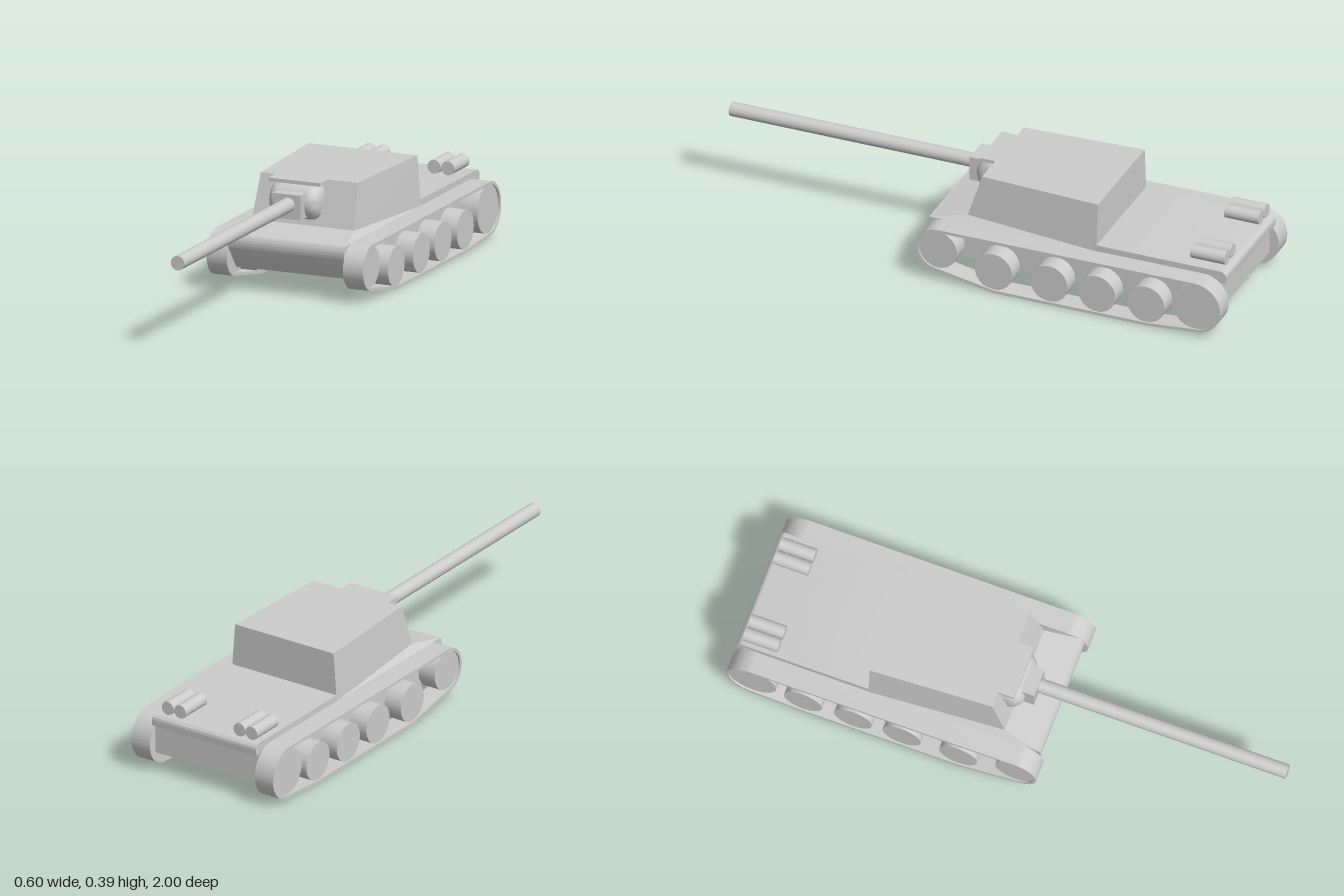
import * as THREE from 'three';
import { toCreasedNormals } from 'three/addons/utils/BufferGeometryUtils.js';
import { ConvexGeometry } from 'three/addons/geometries/ConvexGeometry.js';

const material = new THREE.MeshStandardMaterial({ color: 0xcccccc });

export function createModel() {
  const model = new THREE.Group();

  const add = (name, geometry, x = 0, y = 0, z = 0) => {
    const mesh = new THREE.Mesh(geometry, material);
    mesh.name = name;
    mesh.position.set(x, y, z);
    model.add(mesh);
    return mesh;
  };

  // Side profile drawn as (z, y), extruded across x and centred
  const across = (shape, width) => {
    const g = new THREE.ExtrudeGeometry(shape, { depth: width, bevelEnabled: false, curveSegments: 24 });
    g.translate(0, 0, -width / 2).rotateY(-Math.PI / 2);
    return toCreasedNormals(g, 0.6);
  };

  // Convex solid from right/left mirrored corner points
  const mirroredSolid = (corners) => new ConvexGeometry(
    corners.flatMap(([x, y, z]) => [new THREE.Vector3(x, y, z), new THREE.Vector3(-x, y, z)]));

  const crossCylinder = (r, length) =>
    new THREE.CylinderGeometry(r, r, length, 32).rotateZ(Math.PI / 2);
  const longCylinder = (r, length) =>
    new THREE.CylinderGeometry(r, r, length, 32).rotateX(Math.PI / 2);

  // Lower hull with a rounded nose
  const hull = new THREE.Shape();
  hull.moveTo(-0.965, 0.073);
  hull.lineTo(0.08, 0.073);
  hull.lineTo(0.143, 0.152);
  hull.quadraticCurveTo(0.157, 0.185, 0.14, 0.206);
  hull.lineTo(-0.965, 0.208);
  add('lowerHull', across(hull, 0.448));

  // Sloped front deck and flanks
  add('frontDeck', mirroredSolid([
    [0.224, 0.208, -0.496], [0.224, 0.205, 0.142], [0.198, 0.23, 0.005],
  ]));

  // Casemate with inward-leaning walls
  add('casemate', mirroredSolid([
    [0.224, 0.208, -0.496], [0.21, 0.39, -0.496],
    [0.187, 0.39, -0.045], [0.198, 0.23, 0.005],
  ]));

  // Engine deck overhanging the rear plate
  const deck = new THREE.Shape();
  deck.moveTo(-0.48, 0.187);
  deck.lineTo(-0.48, 0.232);
  deck.lineTo(-0.965, 0.232);
  deck.quadraticCurveTo(-0.99, 0.23, -0.99, 0.21);
  deck.lineTo(-0.988, 0.187);
  add('engineDeck', across(deck, 0.445));

  // Gun: roof lip, rounded mantlet, collar block and barrel
  add('mantletRoof', new THREE.BoxGeometry(0.2, 0.013, 0.07), -0.03, 0.3835, -0.02);
  const mantletProfile = [
    [0, -0.097], [0.036, -0.097], [0.048, -0.092], [0.058, -0.084], [0.065, -0.072], [0.067, -0.055],
    [0.067, 0.055], [0.065, 0.072], [0.058, 0.084], [0.048, 0.092], [0.036, 0.097], [0, 0.097],
  ].map(([r, h]) => new THREE.Vector2(r, h));
  const mantlet = new THREE.LatheGeometry(mantletProfile, 40).rotateZ(Math.PI / 2);
  add('mantlet', toCreasedNormals(mantlet, 0.7), -0.032, 0.312, -0.027);
  add('gunCollar', new THREE.BoxGeometry(0.106, 0.09, 0.075), -0.033, 0.308, 0.0355);
  add('gunBarrel', longCylinder(0.026, 0.95), -0.028, 0.315, 0.525);

  // Paired drums on the engine deck
  for (const x of [-0.189, -0.137, 0.116, 0.169]) {
    add('rearDrum', longCylinder(0.025, 0.13), x, 0.26, -0.905);
  }

  // Track outline, inset by t for its inner edge
  const trackLoop = (path, t) => {
    const rad = THREE.MathUtils.degToRad;
    path.moveTo(-0.72, t);
    path.lineTo(-0.134, t);
    path.absarc(0.077, 0.124, 0.083 - t, rad(-80), rad(90), false);
    path.absarc(-0.902, 0.113, 0.098 - t, rad(90), rad(264), false);
    path.closePath();
    return path;
  };
  const track = trackLoop(new THREE.Shape(), 0);
  track.holes.push(trackLoop(new THREE.Path(), 0.011));
  const trackGeometry = across(track, 0.078);

  // Wheels: z, y, radius
  const wheels = [
    ['idlerWheel', 0.077, 0.124, 0.072],
    ['roadWheel', -0.134, 0.081, 0.071],
    ['roadWheel', -0.345, 0.081, 0.071],
    ['roadWheel', -0.527, 0.081, 0.071],
    ['roadWheel', -0.714, 0.081, 0.071],
    ['driveWheel', -0.902, 0.113, 0.088],
  ];
  for (const [label, side] of [['left', 1], ['right', -1]]) {
    add(label + 'Track', trackGeometry, side * 0.263, 0, 0);
    for (const [name, z, y, r] of wheels) {
      add(label + '_' + name, crossCylinder(r, 0.07), side * 0.26, y, z);
    }
  }

  return model;
}
